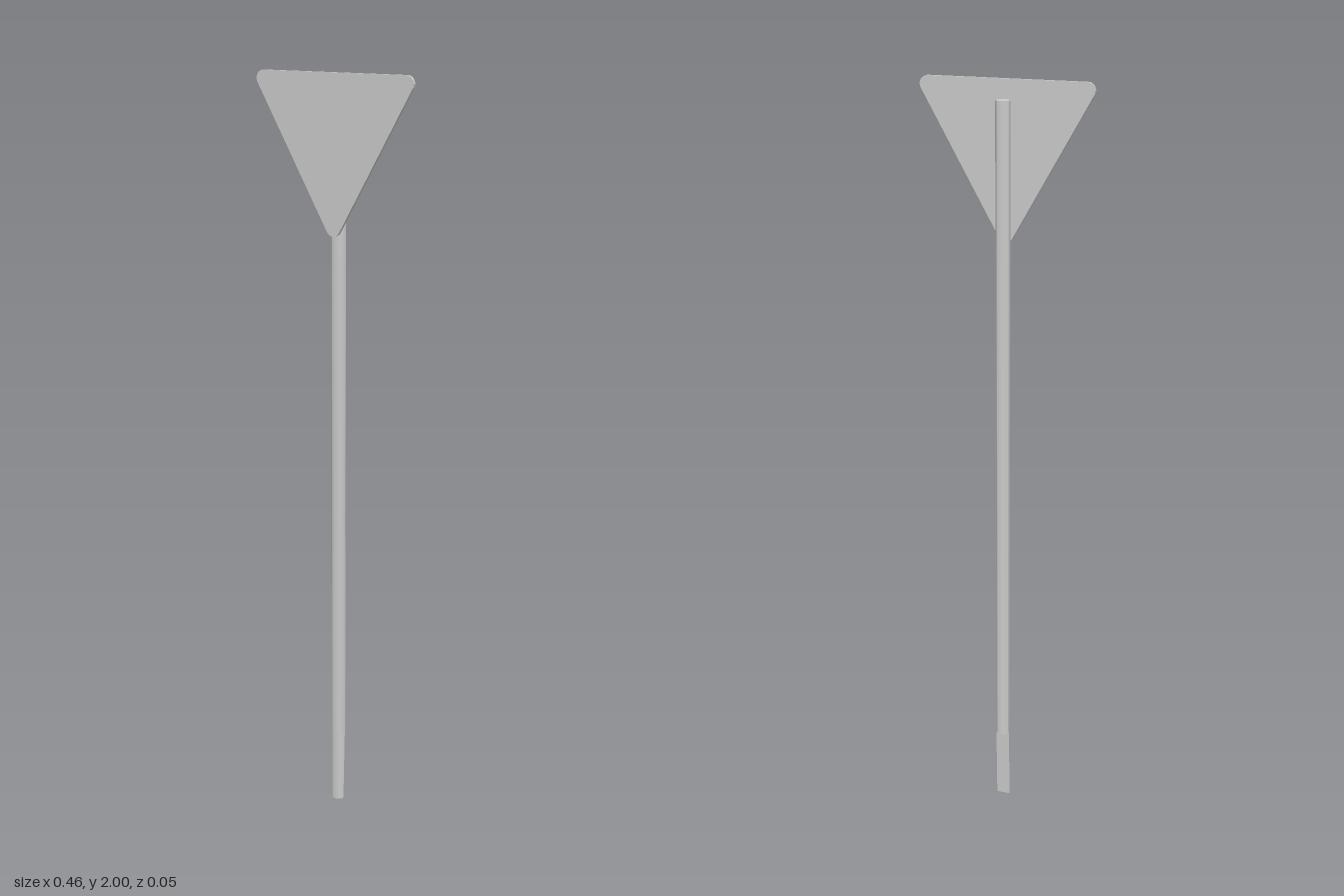
import * as THREE from 'three';
import { toCreasedNormals } from 'three/addons/utils/BufferGeometryUtils.js';

const material = new THREE.MeshStandardMaterial({ color: 0xcccccc });

function addPart(group, name, geometry) {
  const mesh = new THREE.Mesh(toCreasedNormals(geometry, 0.6), material);
  mesh.name = name;
  group.add(mesh);
}

// Equilateral triangle pointing down, with rounded corners
function roundedTriangle(halfWidth, top, r) {
  const a = halfWidth - r;
  const corners = [[a, top - r], [-a, top - r], [0, top - r - a * Math.sqrt(3)]];
  const shape = new THREE.Shape();
  corners.forEach(([x, y], i) => {
    const start = -Math.PI / 6 + i * 2 * Math.PI / 3;
    shape.absarc(x, y, r, start, start + 2 * Math.PI / 3, false);
  });
  shape.closePath();
  return shape;
}

export function createModel() {
  const model = new THREE.Group();
  model.name = 'signPost';
  const radius = 0.019, postZ = -0.0045, cutHeight = 0.2, postTop = 1.95;

  // Round post
  const post = new THREE.CylinderGeometry(radius, radius, postTop - cutHeight, 48);
  post.translate(0, (postTop + cutHeight) / 2, postZ);
  addPart(model, 'post', post);

  // Foot of the post, its back cut away along a slightly sloping plane
  const foot = new THREE.CylinderGeometry(radius, radius, cutHeight, 48);
  foot.translate(0, cutHeight / 2, postZ);
  const p = foot.attributes.position;
  for (let i = 0; i < p.count; i++) {
    const cutZ = -0.007 * p.getY(i) / cutHeight;
    p.setZ(i, Math.max(p.getZ(i), cutZ));
  }
  addPart(model, 'cutFoot', foot);

  // Triangular sign plate on the front of the post
  const plate = new THREE.ExtrudeGeometry(roundedTriangle(0.232, 2, 0.021), {
    depth: 0.008, bevelEnabled: false, curveSegments: 12,
  });
  plate.translate(0, 0, 0.0148);
  addPart(model, 'signPlate', plate);

  return model;
}
